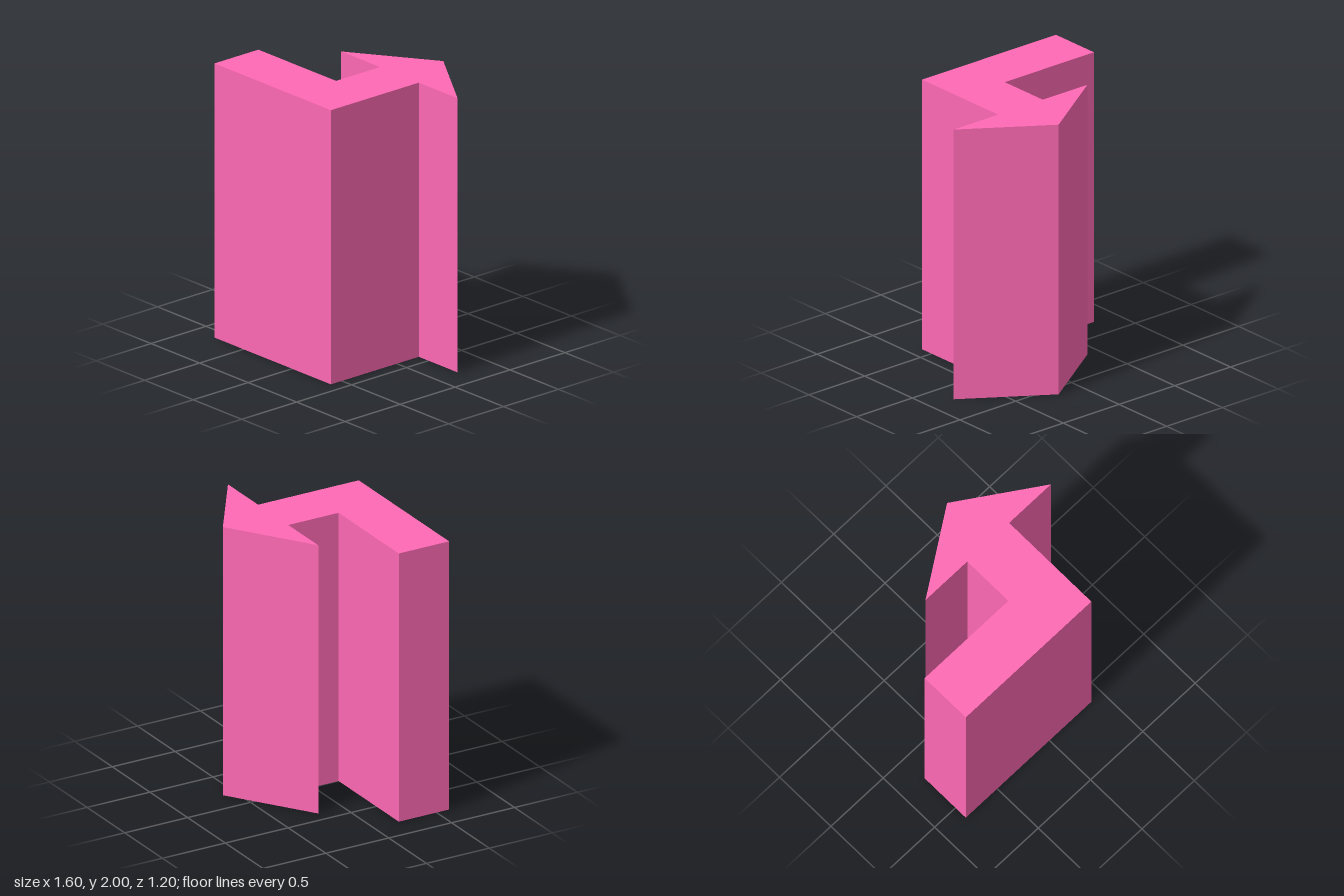
import * as THREE from 'three';

export function createModel() {
  const group = new THREE.Group();
  group.name = 'bentArrow';

  // Plan outline as [x, z]: foot, upright shaft and pointed head
  const outline = [
    [-0.8, 0.6], [0.4, 0.6], [0.4, -0.2], [0.8, -0.2], [0.2, -0.6],
    [-0.4, -0.2], [0, -0.2], [0, 0.2], [-0.8, 0.2],
  ];
  const shape = new THREE.Shape(outline.map(([x, z]) => new THREE.Vector2(x, -z)));

  // Extrude the plan upwards from the ground
  const geometry = new THREE.ExtrudeGeometry(shape, { depth: 2, bevelEnabled: false });
  geometry.rotateX(-Math.PI / 2);

  const material = new THREE.MeshStandardMaterial({ color: 0xff69b4 });
  const arrow = new THREE.Mesh(geometry, material);
  arrow.name = 'arrowPrism';
  group.add(arrow);
  return group;
}
